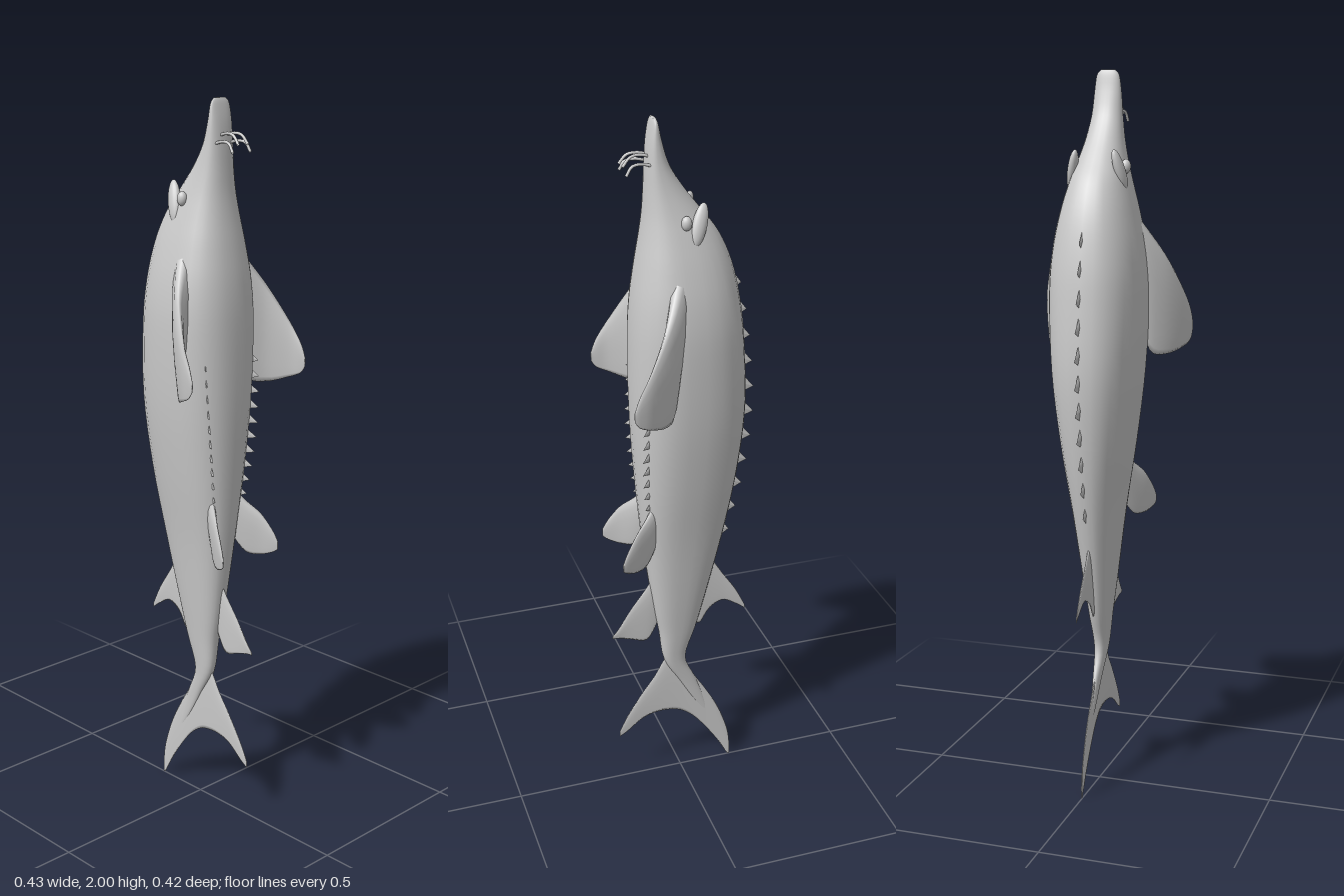
import * as THREE from 'three';

const material = new THREE.MeshStandardMaterial({ color: 0xcccccc, side: THREE.DoubleSide });

// Catmull-Rom interpolation of every column at position t (0..1) along the rows
function sampleRows(rows, t) {
  const f = t * (rows.length - 1), i = Math.min(Math.floor(f), rows.length - 2), u = f - i;
  const row = k => rows[Math.max(0, Math.min(rows.length - 1, k))];
  return rows[0].map((_, c) => {
    const [a, b, d, e] = [row(i - 1)[c], row(i)[c], row(i + 1)[c], row(i + 2)[c]];
    return b + 0.5 * u * (d - a + u * (2 * a - 5 * b + 4 * d - e + u * (3 * (b - d) + e - a)));
  });
}

// Closed skin over a list of rings, with the faces turned outward
function loft(rings) {
  const centre = r => {
    const c = r.reduce((s, p) => s.add(p), new THREE.Vector3()).divideScalar(r.length);
    return r.map(() => c);
  };
  const all = [centre(rings[0]), ...rings, centre(rings[rings.length - 1])];
  const n = rings[0].length, points = all.flat(), tris = [];
  for (let i = 0; i < all.length - 1; i++) {
    for (let k = 0; k < n; k++) {
      const a = i * n + k, b = i * n + (k + 1) % n;
      if (i > 0) tris.push([a, b, a + n]);
      if (i < all.length - 2) tris.push([b, b + n, a + n]);
      else tris.push([a, b, a + n]);
      if (i === all.length - 2) tris.pop();
    }
  }
  let volume = 0;
  for (const [a, b, c] of tris) volume += points[a].dot(points[b].clone().cross(points[c]));
  const index = tris.flatMap(([a, b, c]) => (volume < 0 ? [a, c, b] : [a, b, c]));
  const g = new THREE.BufferGeometry().setFromPoints(points);
  g.setIndex(index);
  g.computeVertexNormals();
  return g;
}

function add(parent, name, geometry) {
  const m = new THREE.Mesh(geometry, material);
  m.name = name;
  parent.add(m);
  return m;
}

// Body sections from tail to snout: y, half width, back z, belly z
const BODY = [
  [0.19, 0.002, -0.088, -0.075], [0.25, 0.006, -0.07, -0.035], [0.32, 0.011, -0.045, 0.005],
  [0.4, 0.019, -0.015, 0.05], [0.5, 0.03, -0.045, 0.065], [0.6, 0.042, -0.072, 0.083],
  [0.8, 0.066, -0.122, 0.11], [1.0, 0.097, -0.16, 0.128], [1.2, 0.121, -0.18, 0.138],
  [1.4, 0.13, -0.172, 0.139], [1.52, 0.123, -0.158, 0.133], [1.62, 0.104, -0.135, 0.12],
  [1.7, 0.083, -0.1, 0.107], [1.76, 0.066, -0.055, 0.099], [1.82, 0.052, -0.008, 0.095],
  [1.88, 0.043, 0.03, 0.092], [1.94, 0.038, 0.05, 0.087], [1.985, 0.032, 0.06, 0.079], [2.0, 0.02, 0.065, 0.074],
];

// Section at a given height
function bodyAt(y) {
  let lo = 0, hi = 1;
  for (let i = 0; i < 24; i++) {
    const mid = (lo + hi) / 2;
    if (sampleRows(BODY, mid)[0] < y) lo = mid; else hi = mid;
  }
  return sampleRows(BODY, lo);
}

// Point on a section; angle 0 is the belly, PI the back, PI/2 the left flank
function sectionPoint([y, w, back, belly], angle) {
  const mid = back + (belly - back) * 0.6, s = Math.sin(angle), c = Math.cos(angle);
  const power = v => Math.sign(v) * Math.abs(v) ** (2 / 2.3);
  return new THREE.Vector3(w * power(s), y, mid + power(c) * (c > 0 ? belly - mid : mid - back));
}

function bodyGeometry() {
  const rings = [];
  for (let i = 0; i <= 72; i++) {
    const row = sampleRows(BODY, i / 72);
    rings.push(Array.from({ length: 28 }, (_, k) => sectionPoint(row, k / 28 * Math.PI * 2)));
  }
  return loft(rings);
}

// Fin stations from root to tip: x, z, leading y, trailing y, half thickness
function finGeometry(rows, side = 1) {
  const rings = [], steps = (rows.length - 1) * 4, n = 14;
  for (let i = 0; i <= steps; i++) {
    const t = i / steps;
    const [x, z, lead, trail, thick] = sampleRows(rows, t);
    const p = sampleRows(rows, Math.max(0, t - 0.02)), q = sampleRows(rows, Math.min(1, t + 0.02));
    const across = new THREE.Vector2(q[1] - p[1], p[0] - q[0]).normalize();
    rings.push(Array.from({ length: n }, (_, k) => {
      const a = k / n * Math.PI * 2, s = (1 - Math.cos(a)) / 2;
      const off = Math.sin(a) * thick * (1 - 0.75 * s);
      return new THREE.Vector3(side * (x + across.x * off), lead + (trail - lead) * s, z + across.y * off);
    }));
  }
  return loft(rings);
}

const PECTORAL = [
  [0.085, 0.03, 1.63, 1.38, 0.04], [0.125, 0.055, 1.57, 1.25, 0.032], [0.165, 0.09, 1.5, 1.235, 0.02],
  [0.198, 0.14, 1.41, 1.25, 0.011], [0.209, 0.175, 1.35, 1.265, 0.007], [0.211, 0.19, 1.31, 1.285, 0.003],
];
const PELVIC = [
  [0.04, 0.08, 0.96, 0.82, 0.018], [0.062, 0.115, 0.92, 0.77, 0.014], [0.085, 0.152, 0.885, 0.765, 0.009],
  [0.1, 0.183, 0.84, 0.775, 0.006], [0.106, 0.198, 0.81, 0.785, 0.003],
];
const DORSAL = [
  [0, -0.04, 0.74, 0.52, 0.01], [0, -0.06, 0.735, 0.505, 0.009], [0, -0.09, 0.72, 0.55, 0.007],
  [0, -0.13, 0.66, 0.57, 0.005], [0, -0.17, 0.6, 0.55, 0.004], [0, -0.2, 0.54, 0.528, 0.002],
];
const ANAL = [
  [0, 0.05, 0.72, 0.58, 0.01], [0, 0.08, 0.69, 0.51, 0.008], [0, 0.105, 0.65, 0.478, 0.007],
  [0, 0.15, 0.59, 0.49, 0.005], [0, 0.185, 0.535, 0.5, 0.004], [0, 0.205, 0.51, 0.502, 0.002],
];
const CAUDAL = [
  [0, 0.19, 0.17, 0.15, 0.002], [0, 0.165, 0.22, 0.165, 0.003], [0, 0.12, 0.29, 0.2, 0.004],
  [0, 0.08, 0.345, 0.214, 0.005], [0, 0.04, 0.41, 0.215, 0.006], [0, 0, 0.41, 0.205, 0.006],
  [0, -0.04, 0.33, 0.175, 0.005], [0, -0.08, 0.265, 0.125, 0.004], [0, -0.12, 0.19, 0.065, 0.004],
  [0, -0.15, 0.105, 0.01, 0.003], [0, -0.159, 0.045, 0.005, 0.002],
];

// Row of thin hooked plates following the body at one angle
function addScutes(parent, name, count, yTop, yBottom, angleAt, height) {
  const row = new THREE.Group();
  row.name = name;
  const pitch = (yTop - yBottom) / (count - 1);
  for (let i = 0; i < count; i++) {
    const t = i / (count - 1), y = yTop - t * (yTop - yBottom);
    const section = bodyAt(y), p = sectionPoint(section, angleAt(t));
    const h = height * (0.6 + 0.4 * Math.sin(Math.PI * t));
    const plate = new THREE.ConeGeometry(pitch * 0.55, h + 0.02, 4).translate(0, h / 2 - 0.01, 0);
    const pos = plate.attributes.position;
    for (let k = 0; k < pos.count; k++) {
      const lift = Math.max(0, pos.getY(k));
      pos.setX(k, pos.getX(k) * 0.16);
      pos.setZ(k, pos.getZ(k) + lift * 0.7);
    }
    plate.computeVertexNormals();
    const m = add(row, 'scute', plate);
    const out = new THREE.Vector3(p.x * 0.9, 0, p.z).normalize();
    const down = new THREE.Vector3(0, -1, 0);
    m.quaternion.setFromRotationMatrix(new THREE.Matrix4().makeBasis(out.clone().cross(down), out, down));
    m.position.copy(p);
  }
  parent.add(row);
}

export function createModel() {
  const model = new THREE.Group();
  model.name = 'sturgeon';
  add(model, 'body', bodyGeometry());
  add(model, 'dorsalFin', finGeometry(DORSAL));
  add(model, 'analFin', finGeometry(ANAL));
  add(model, 'tailFin', finGeometry(CAUDAL));
  addScutes(model, 'backScutes', 11, 1.56, 0.82, () => Math.PI, 0.032);

  for (const side of [1, -1]) {
    const label = side > 0 ? 'left' : 'right';
    add(model, label + 'PectoralFin', finGeometry(PECTORAL, side));
    add(model, label + 'PelvicFin', finGeometry(PELVIC, side));
    addScutes(model, label + 'BellyScutes', 10, 1.32, 0.95, t => side * (0.72 - 0.12 * t), 0.024);

    // Teardrop brow and the small eye in front of it
    const brow = add(model, label + 'Brow', new THREE.SphereGeometry(1, 20, 14));
    brow.scale.set(0.014, 0.058, 0.02);
    brow.position.set(side * 0.066, 1.735, -0.03);
    brow.rotation.set(-0.3, 0, side * 0.22);
    const eye = add(model, label + 'Eye', new THREE.SphereGeometry(1, 16, 12));
    eye.scale.set(0.013, 0.019, 0.014);
    eye.position.set(side * 0.072, 1.745, 0.006);

    // Barbels under the snout
    for (const [x, y, reach] of [[0.012, 1.905, 0.155], [0.027, 1.885, 0.15]]) {
      const path = new THREE.CatmullRomCurve3([
        new THREE.Vector3(side * x, y, 0.075), new THREE.Vector3(side * x, y + 0.008, 0.11),
        new THREE.Vector3(side * (x + 0.003), y + 0.004, 0.135), new THREE.Vector3(side * (x + 0.005), y - 0.018, reach),
      ]);
      add(model, label + 'Barbel', new THREE.TubeGeometry(path, 12, 0.004, 8));
    }
  }
  return model;
}
